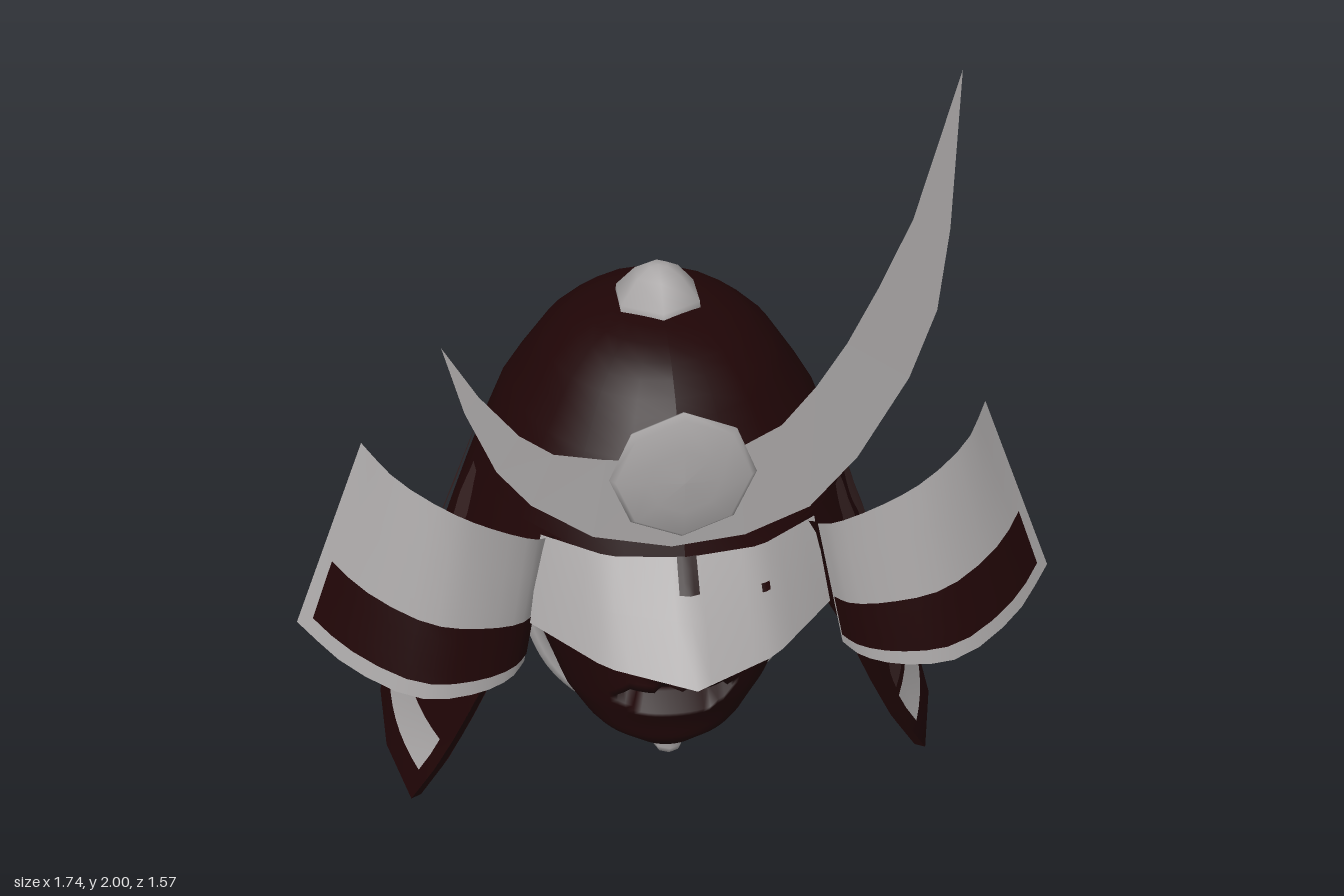
import * as THREE from 'three';

const mat = (name, color) => {
  const m = new THREE.MeshStandardMaterial({ color, side: THREE.DoubleSide });
  m.name = name;
  return m;
};

// linear interpolation through a list of [key, value] pairs (ascending keys)
function lerpTable(table, k) {
  if (k <= table[0][0]) return table[0][1];
  for (let i = 1; i < table.length; i++) {
    const [k0, v0] = table[i - 1], [k1, v1] = table[i];
    if (k <= k1) return v0 + (v1 - v0) * (k - k0) / (k1 - k0);
  }
  return table[table.length - 1][1];
}

// surface swept over s, t in 0..1; skip(s, t) leaves a hole
function grid(ns, nt, f, skip) {
  const pos = [], idx = [];
  for (let j = 0; j <= nt; j++)
    for (let i = 0; i <= ns; i++) pos.push(...f(i / ns, j / nt));
  for (let j = 0; j < nt; j++)
    for (let i = 0; i < ns; i++) {
      if (skip && skip((i + 0.5) / ns, (j + 0.5) / nt)) continue;
      const a = j * (ns + 1) + i, b = a + ns + 1;
      idx.push(a, a + 1, b + 1, a, b + 1, b);
    }
  const g = new THREE.BufferGeometry();
  g.setAttribute('position', new THREE.Float32BufferAttribute(pos, 3));
  g.setIndex(idx);
  g.computeVertexNormals();
  return g;
}

// helmet radius by height
const RADIUS = [[0.08, 0.8], [0.2, 0.732], [0.33, 0.68], [0.55, 0.605], [0.7, 0.545], [0.85, 0.485],
  [1.0, 0.42], [1.15, 0.31], [1.22, 0.22], [1.25, 0.12], [1.26, 0.0]];

// point on the bowl at angle a (0 = front), height y, offset outward
function bowl(a, y, off = 0) {
  const r = Math.max(0, lerpTable(RADIUS, y) + off);
  const k = Math.max(0, (0.85 - y) / 0.77);
  return [0.92 * r * Math.sin(a), y + k * (0.018 * Math.sin(a) - 0.043 * Math.cos(a)), 1.03 * r * Math.cos(a)];
}
// half angle of the face opening by height
const opening = y => lerpTable([[0.08, 1.12], [0.5, 0.9], [0.85, 0.62]], y);

// crest edges, paired from the short tip to the tall tip
const CREST_OUTER = [[-0.55, 1.44], [-0.51, 1.28], [-0.45, 1.13], [-0.38, 1.04], [-0.25, 0.95], [-0.08, 0.912], [0.08, 0.93],
  [0.22, 0.99], [0.32, 1.11], [0.42, 1.3], [0.468, 1.46], [0.48, 1.65], [0.475, 2.0]];
const CREST_INNER = [[-0.55, 1.44], [-0.48, 1.32], [-0.4, 1.22], [-0.33, 1.17], [-0.22, 1.15], [-0.08, 1.14], [0.06, 1.16],
  [0.15, 1.21], [0.22, 1.3], [0.28, 1.4], [0.34, 1.53], [0.4, 1.68], [0.475, 2.0]];
// point across the crest: v runs from outer to inner edge, back is the depth behind the face
function crestPoint(i, v, back) {
  const [x, y] = CREST_OUTER[i].map((c, k) => c + (CREST_INNER[i][k] - c) * v);
  const u = (x + 0.045) * 1.037;
  return [u, y, 0.53 - 0.03 * (y - 1) - 0.08 * u * u - back];
}
const ridgeDepth = i => Math.min(0.055,
  0.35 * Math.hypot(CREST_OUTER[i][0] - CREST_INNER[i][0], CREST_OUTER[i][1] - CREST_INNER[i][1]));

export function createModel() {
  const model = new THREE.Group();
  model.name = 'warriorHelmet';
  // the helmet is turned a little on its stand
  const body = new THREE.Group();
  body.name = 'helmet';
  body.position.set(0.09, 0, 0.03);
  body.rotation.y = -0.27;
  model.add(body);

  const dark = mat('dark lacquer', 0x1f0506);
  const stripe = mat('faded lacing', 0x372222);
  const metal = mat('pale metal', 0xa8a5a5);

  const add = (name, geo, material, parent = body) => {
    const m = new THREE.Mesh(geo, material);
    m.name = name;
    parent.add(m);
    return m;
  };

  // dome
  add('dome', grid(20, 12, (s, t) => bowl(s * Math.PI * 2, 1.26 - 0.42 * t * (0.3 + 0.7 * t))), dark);

  // neck guard: outer wall, bottom lip, inner wall, then its two front edges
  const rows = [[0.85, 0], [0.7, 0], [0.55, 0], [0.33, 0], [0.2, 0], [0.08, 0],
    [0.08, -0.03], [0.2, -0.03], [0.33, -0.03], [0.55, -0.03], [0.85, -0.03]];
  const guardAngle = (s, y) => opening(y) + s * (Math.PI * 2 - 2 * opening(y));
  add('neckGuard', grid(16, rows.length - 1, (s, t) => {
    const [y, off] = rows[Math.round(t * (rows.length - 1))];
    return bowl(guardAngle(s, y), y, off);
  }), dark);
  for (const end of [0, 1])
    add('neckGuardEdge', grid(1, 8, (s, t) => {
      const y = 0.08 + 0.77 * t;
      return bowl(guardAngle(end, y), y, -0.03 * s);
    }), dark);

  // pale band above the rim
  add('rimBand', grid(64, 2, (s, t) => {
    const y = 0.15 + 0.105 * t;
    return bowl(guardAngle(0.012 + 0.976 * s, y), y, 0.007);
  }), metal);

  // worn vertical lacing stripes
  for (let k = -4; k <= 6; k++) {
    const mid = Math.PI - THREE.MathUtils.degToRad(Math.min(115, -8 + 22 * k));
    add('lacingStripe', grid(2, 24, (s, t) => {
      const y = 0.28 + 0.56 * t;
      const half = (0.042 + 0.007 * Math.sin(t * 27 + k * 2)) * Math.min(1, 0.5 + 6 * (1 - t));
      const drift = 0.01 * Math.sin(t * 7 + k);
      return bowl(mid + ((s - 0.5) * 2 * half + drift) / lerpTable(RADIUS, y), y, 0.008);
    }), stripe);
  }

  // top knob
  const knob = [[0.11, 1.24], [0.108, 1.265], [0.06, 1.32], [0.025, 1.34], [0, 1.342]];
  add('topKnob', new THREE.LatheGeometry(knob.map(p => new THREE.Vector2(...p)), 6), metal);

  // curling side wings, each joined to the bowl by a dark root
  const V = (x, y, z) => new THREE.Vector3(x, y, z);
  const low = new THREE.CatmullRomCurve3([V(0.385, 0.555, 0.49), V(0.42, 0.55, 0.54), V(0.505, 0.555, 0.59),
    V(0.634, 0.57, 0.605), V(0.794, 0.605, 0.51), V(0.912, 0.637, 0.37)]);
  const high = new THREE.CatmullRomCurve3([V(0.32, 0.865, 0.43), V(0.35, 0.89, 0.467), V(0.44, 0.95, 0.5),
    V(0.534, 1.01, 0.506), V(0.65, 1.06, 0.433), V(0.729, 1.085, 0.307)]);
  for (const side of [1, -1]) {
    const wing = new THREE.Group();
    wing.name = side > 0 ? 'leftWing' : 'rightWing';
    body.add(wing);
    // the right wing is bent slightly back
    const bend = side > 0 ? 0 : 0.035;
    const wingPoint = (u, v, off = 0) => {
      const p = low.getPoint(u).lerp(high.getPoint(u), v);
      return [side * (p.x + off * (u - 0.45)) + 0.4 * bend, p.y + 0.02 * side * p.x, p.z + off - bend];
    };
    const plate = (s0, s1, t0, t1, off) => grid(12, 4,
      (s, t) => wingPoint(s0 + (s1 - s0) * s, t0 + (t1 - t0) * t, off));
    add('wingPlate', plate(0, 1, 0, 1, 0), metal, wing);
    add('wingPanel', plate(0.03, 0.95, 0.1, 0.42, 0.009), dark, wing);
    add('wingBack', plate(0.0, 0.95, 0.06, 0.95, -0.009), dark, wing);
    add('wingRoot', grid(1, 4, (s, t) => {
      const y = 0.58 + 0.27 * t;
      const a = bowl(side * (opening(y) + 0.08), y), b = wingPoint(0.01, t, -0.005);
      return a.map((c, i) => c + (b[i] - c) * s);
    }), dark, wing);
  }

  // visor over the brow: depth by sideways position, top and bottom edges
  const visorPoint = (s, t, off = 0) => {
    const n = 2 * s - 1, h = Math.abs(n);
    const top = [0.32 * n, 0.865, lerpTable([[0, 0.515], [0.55, 0.49], [1, 0.39]], h)];
    const bot = [0.355 * n, 0.645 + 0.02 * h, lerpTable([[0, 0.72], [0.55, 0.63], [1, 0.46]], h)];
    return top.map((v, i) => v + (bot[i] - v) * t + (i ? off : 0));
  };
  add('visor', grid(20, 2, (s, t) => visorPoint(s, t)), metal);
  add('visorSlot', grid(4, 3, (s, t) => visorPoint(0.465 + 0.07 * s, 0.3 * t, 0.007)), dark);
  add('visorRivet', grid(2, 2, (s, t) => visorPoint(0.755 + 0.03 * s, 0.34 + 0.08 * t, 0.007)), dark);

  // face mask with nose, sunken mouth and an open eye line under the visor
  const HALF = [[0.13, 0.12], [0.2, 0.21], [0.3, 0.27], [0.5, 0.335], [0.7, 0.345]];
  const maskY = t => 0.14 + 0.54 * t;
  add('faceMask', grid(32, 30, (s, t) => {
    const n = 2 * s - 1, y = maskY(t), u = n * lerpTable(HALF, y);
    const bulge = lerpTable([[0.13, 0.15], [0.2, 0.21], [0.5, 0.23], [0.68, 0.25]], y) * Math.sqrt(Math.max(0, 1 - n * n));
    const nose = 0.1 * Math.exp(-((u / 0.05) ** 2)) * lerpTable([[0.42, 0], [0.46, 1], [0.64, 0.3]], y);
    const lips = 0.035 * Math.exp(-((u / 0.14) ** 4)) * Math.exp(-(((y - 0.36) / 0.08) ** 2));
    const mouth = (u / 0.13) ** 2 + ((y - 0.36) / 0.035) ** 2 < 1 ? -0.07 : 0;
    return [u, y, 0.18 + bulge + nose + lips + mouth];
  }, (s, t) => {
    const y = maskY(t), u = Math.abs((2 * s - 1) * lerpTable(HALF, y));
    return u < 0.25 && y > 0.58 && (u > 0.06 || y > 0.61);
  }), dark);

  // chin cord and hanging tassel
  const cord = new THREE.CatmullRomCurve3([[-0.355, 0.68], [-0.345, 0.5], [-0.275, 0.3], [-0.14, 0.165], [0, 0.125],
    [0.14, 0.165], [0.275, 0.3], [0.345, 0.5], [0.355, 0.68]].map(([x, y]) => V(x, y, 0.19)));
  add('chinCord', new THREE.TubeGeometry(cord, 40, 0.019, 6), metal);
  const tassel = [[0, 0], [0.035, 0.005], [0.043, 0.025], [0.04, 0.07], [0.05, 0.1], [0.04, 0.13], [0, 0.14]];
  add('tassel', new THREE.LatheGeometry(tassel.map(p => new THREE.Vector2(...p)), 8), metal).position.set(0.014, 0, 0.19);

  // crescent crest: flat face, ridged back, one tall and one short horn
  const last = CREST_OUTER.length - 1;
  const section = [[0, 0], [1, 0], [0.5, 1], [0, 0]];
  const crest = grid(3, last, (s, t) => {
    const i = Math.round(t * last), [v, d] = section[Math.round(s * 3)];
    return crestPoint(i, v, d * ridgeDepth(i));
  }).toNonIndexed();
  crest.computeVertexNormals();
  add('crest', crest, metal);

  // dark patch on the lower back of the crest
  add('crestBackPatch', grid(1, 4, (s, t) => {
    const i = 3 + Math.round(t * 4);
    return crestPoint(i, 0.04 + 0.46 * s, (0.08 + 0.92 * s) * ridgeDepth(i) + 0.007);
  }), dark);

  // domed boss at the middle of the crest
  const boss = [[0, -0.02], [0.155, -0.02], [0.163, -0.005], [0.15, 0.008], [0.08, 0.022], [0, 0.026]];
  const disc = add('crestBoss', new THREE.LatheGeometry(boss.map(p => new THREE.Vector2(...p)), 8), metal);
  disc.rotation.x = Math.PI / 2;
  disc.position.set(-0.015, 1.108, 0.545);

  return model;
}
